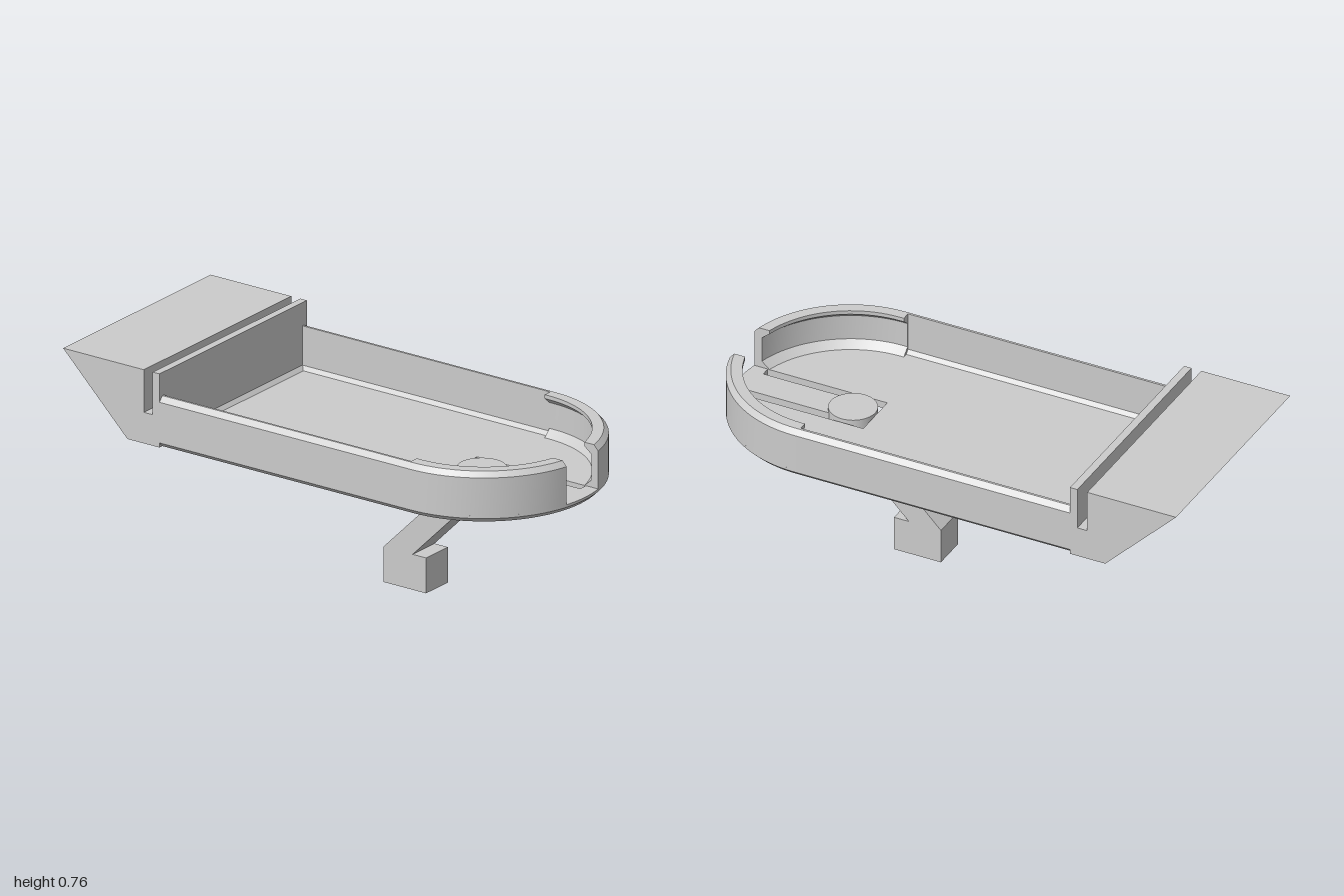
import * as THREE from 'three';
import { toCreasedNormals } from 'three/addons/utils/BufferGeometryUtils.js';

const R = 0.45, ARC_Z = 0.55, BACK_Z = -0.57;
const BASE_Y = 0.475, FLOOR_Y = 0.503, TOP_Y = 0.67, NOTCH = 0.096;

const material = new THREE.MeshStandardMaterial({ color: 0xcccccc });

function add(group, name, geometry) {
  const mesh = new THREE.Mesh(geometry, material);
  mesh.name = name;
  group.add(mesh);
  return mesh;
}

// Extrude a side profile of [z, y] points across the width, centred on x
function sideProfile(points, width) {
  const shape = new THREE.Shape(points.map(([z, y]) => new THREE.Vector2(z, y)));
  const geometry = new THREE.ExtrudeGeometry(shape, { depth: width, bevelEnabled: false });
  return geometry.rotateY(-Math.PI / 2).translate(width / 2, 0, 0);
}

// Sweep a closed [inset, y] section along stations [x, z, outward nx, outward nz]
function sweep(section, stations) {
  const pos = [];
  const put = (i, k) => {
    const [x, z, nx, nz] = stations[i], [d, y] = section[k];
    pos.push(x - nx * d, y, z - nz * d);
  };
  const n = section.length, last = stations.length - 1;
  for (let i = 0; i < last; i++) {
    for (let k = 0; k < n; k++) {
      const j = (k + 1) % n;
      put(i, k); put(i, j); put(i + 1, k);
      put(i, j); put(i + 1, j); put(i + 1, k);
    }
  }
  const contour = section.map(([d, y]) => new THREE.Vector2(-d, y));
  for (const [a, b, c] of THREE.ShapeUtils.triangulateShape(contour, [])) {
    put(last, a); put(last, b); put(last, c);
    put(0, a); put(0, c); put(0, b);
  }
  const geometry = new THREE.BufferGeometry();
  geometry.setAttribute('position', new THREE.Float32BufferAttribute(pos, 3));
  return toCreasedNormals(geometry, 0.3);
}

function arcStations(from, to, steps) {
  const list = [];
  for (let i = 0; i <= steps; i++) {
    const a = from + (to - from) * i / steps;
    list.push([R * Math.cos(a), ARC_Z + R * Math.sin(a), Math.cos(a), Math.sin(a)]);
  }
  return list;
}

export function createModel() {
  const model = new THREE.Group();
  model.name = 'trayWithLeg';

  // Tray floor with a U-shaped slot that leaves a springy tongue
  const inset = 0.02;
  const floor = new THREE.Shape();
  floor.moveTo(-R + inset, BACK_Z);
  floor.lineTo(R - inset, BACK_Z);
  floor.lineTo(R - inset, ARC_Z);
  floor.absarc(0, ARC_Z, R - inset, 0, Math.PI, false);
  floor.closePath();
  const slot = [[-0.095, 0.45], [0.095, 0.45], [0.095, 0.935], [0.06, 0.935],
    [0.06, 0.54], [-0.06, 0.54], [-0.06, 0.935], [-0.095, 0.935]];
  floor.holes.push(new THREE.Path(slot.map(([x, z]) => new THREE.Vector2(x, z))));
  const floorGeometry = new THREE.ExtrudeGeometry(floor,
    { depth: FLOOR_Y - BASE_Y, bevelEnabled: false, curveSegments: 48 });
  add(model, 'trayFloor', floorGeometry.rotateX(Math.PI / 2).translate(0, FLOOR_Y, 0));

  // Chamfered rim around the bottom of the tray
  add(model, 'bottomRim', sweep(
    [[0.018, BASE_Y], [0, 0.493], [0, FLOOR_Y], [0.04, FLOOR_Y], [0.04, BASE_Y]],
    [[R, BACK_Z, 1, 0], ...arcStations(0, Math.PI, 48), [-R, BACK_Z, -1, 0]]));

  // Straight side walls, and curved front walls with an overhanging lip
  const straight = [[0, FLOOR_Y], [0, 0.65], [0.018, TOP_Y], [0.027, TOP_Y],
    [0.027, 0.518], [0.04, FLOOR_Y]];
  const curved = [[0, FLOOR_Y], [0, 0.65], [0.018, TOP_Y], [0.06, TOP_Y],
    [0.06, 0.655], [0.03, 0.63], [0.03, 0.53], [0.06, FLOOR_Y]];
  const lipZ = 0.535;
  const end = Math.acos(NOTCH / R);
  const endZ = ARC_Z + R * Math.sin(end);
  const rightArc = arcStations(0, end, 22);
  rightArc[22] = [NOTCH, endZ, 0, 1.02];
  const leftArc = arcStations(Math.PI - end, Math.PI, 22);
  leftArc[0] = [-NOTCH, endZ, 0, 1.02];
  add(model, 'leftSideWall', sweep(straight, [[R, BACK_Z, 1, 0], [R, lipZ, 1, 0]]));
  add(model, 'rightSideWall', sweep(straight, [[-R, lipZ, -1, 0], [-R, BACK_Z, -1, 0]]));
  add(model, 'leftFrontWall', sweep(curved, [[R, lipZ, 1, 0], ...rightArc]));
  add(model, 'rightFrontWall', sweep(curved, [...leftArc, [-R, lipZ, -1, 0]]));

  // Slanted rear block with a narrow groove across it
  add(model, 'rearBlock', sideProfile([[BACK_Z, BASE_Y], [BACK_Z, 0.76], [-0.6, 0.76],
    [-0.6, 0.595], [-0.64, 0.595], [-0.64, 0.76], [-1, 0.76], [-0.713, BASE_Y]], 2 * R));

  // Small fillet where the floor meets the rear block
  add(model, 'rearFillet', sideProfile(
    [[BACK_Z, FLOOR_Y], [BACK_Z + 0.013, FLOOR_Y], [BACK_Z, 0.518]], 0.84));

  // Round button on the tongue
  const button = add(model, 'button', new THREE.CylinderGeometry(0.09, 0.09, 0.04, 48));
  button.position.set(0, 0.495, 0.54);

  // Slanted leg with a square foot
  add(model, 'leg', sideProfile([[0.615, BASE_Y], [0.28, 0.137], [0.34, 0.137], [0.34, 0],
    [0.15, 0], [0.15, 0.137], [0.485, BASE_Y]], 0.133));

  return model;
}
